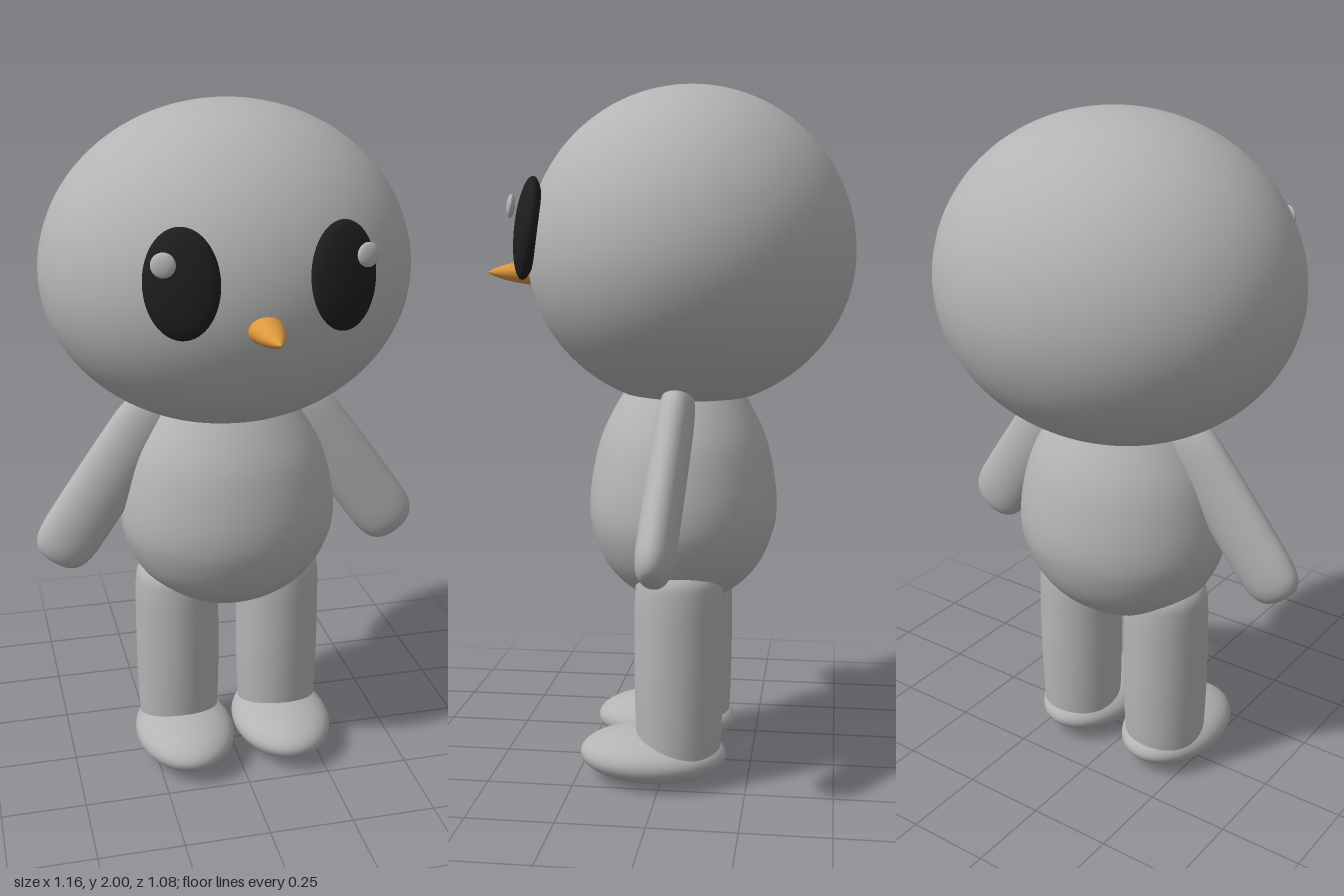
import * as THREE from 'three';

const grey = new THREE.MeshStandardMaterial({ name: 'bodyGrey', color: 0xb4b4b4 });
const black = new THREE.MeshStandardMaterial({ name: 'eyeBlack', color: 0x1e1e1e });
const orange = new THREE.MeshStandardMaterial({ name: 'beakOrange', color: 0xdc983c });

export function createModel() {
  const model = new THREE.Group();
  model.name = 'birdFigure';

  function add(name, geometry, material, position, scale = [1, 1, 1], rotation = [0, 0, 0]) {
    const mesh = new THREE.Mesh(geometry, material);
    mesh.name = name;
    mesh.position.set(...position);
    mesh.scale.set(...scale);
    mesh.rotation.set(...rotation);
    model.add(mesh);
  }

  // Smooth surface of revolution; points are [radius, y] from bottom to top
  function lathe(points, segments = 48) {
    const curve = new THREE.SplineCurve(points.map(([r, y]) => new THREE.Vector2(r, y)));
    const profile = curve.getPoints(48).map((p) => new THREE.Vector2(Math.max(p.x, 0), p.y));
    return new THREE.LatheGeometry(profile, segments);
  }

  const sphere = new THREE.SphereGeometry(1, 48, 32);

  // Head: egg of two half ellipses, truncated at the neck
  const headProfile = [new THREE.Vector2(0, -0.41)];
  for (let i = 0; i <= 48; i++) {
    const a = THREE.MathUtils.lerp(-1.183, Math.PI / 2, i / 48);
    headProfile.push(new THREE.Vector2(
      i === 48 ? 0 : 0.532 * Math.cos(a),
      (a < 0 ? 0.443 : 0.47) * Math.sin(a)
    ));
  }
  add('head', new THREE.LatheGeometry(headProfile, 64), grey, [0, 1.53, -0.068], [1, 1, 0.885]);

  // Pear-shaped torso
  const torso = lathe([
    [0, 0.5], [0.1, 0.513], [0.2, 0.562], [0.27, 0.63], [0.313, 0.72], [0.324, 0.8],
    [0.311, 0.9], [0.277, 1.01], [0.21, 1.12], [0.15, 1.19],
  ]);
  add('torso', torso, grey, [0, 0, -0.045], [1, 1, 0.85]);

  // Beak, pointing forward
  const beak = lathe([[0.042, -0.04], [0.048, 0.02], [0.045, 0.05], [0.034, 0.1], [0.018, 0.145], [0, 0.175]], 32);
  add('beak', beak, orange, [0, 1.472, 0.365], [1, 1, 0.79], [Math.PI / 2, 0, 0]);

  const leg = lathe([
    [0.118, 0.06], [0.124, 0.15], [0.128, 0.3], [0.128, 0.45], [0.126, 0.56],
    [0.116, 0.615], [0.08, 0.645], [0, 0.655],
  ]);
  // Arm hangs from its shoulder at the local origin
  const arm = lathe([
    [0, -0.585], [0.05, -0.578], [0.08, -0.55], [0.092, -0.5], [0.094, -0.4],
    [0.093, -0.2], [0.088, -0.08], [0.065, -0.02], [0, 0],
  ], 40);

  for (const s of [1, -1]) {
    const side = s > 0 ? 'left' : 'right';
    add(side + 'Leg', leg, grey, [s * 0.16, 0, -0.05]);
    add(side + 'Foot', sphere, grey, [s * 0.156, 0.079, 0.026], [0.152, 0.077, 0.214]);
    add(side + 'Arm', arm, grey, [s * 0.195, 1.155, -0.057], [1, 1, 0.58], [-0.075, 0, s * 0.62]);
    add(side + 'Eye', sphere, black, [s * 0.213, 1.597, 0.366], [0.1, 0.143, 0.036], [-0.13, s * 0.33, 0]);
    add(side + 'EyeHighlight', sphere, grey, [s * 0.265, 1.656, 0.4], [0.032, 0.032, 0.012], [-0.1, s * 0.25, 0]);
  }

  return model;
}
